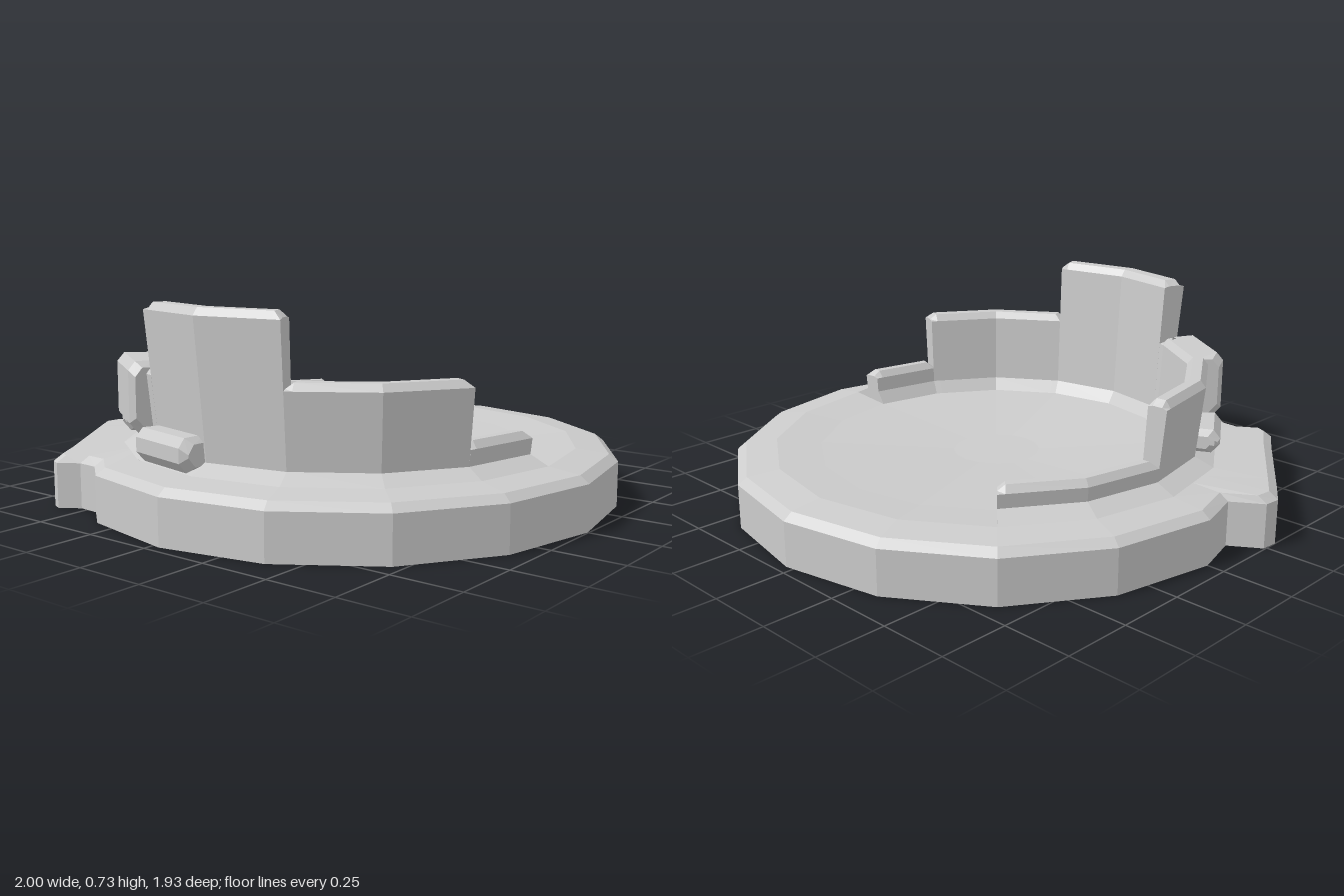
import * as THREE from 'three';

const CX = 0.03;                 // axis of the round base
const STEP = 22.5;               // sixteen-sided
const FOOT_IN = [0.655, 0.188];  // where the wall meets the floor, [radius, y]
const FOOT_OUT = [0.82, 0.203];
const rad = (d) => d * Math.PI / 180;
const mat = new THREE.MeshStandardMaterial({ color: 0xcccccc, flatShading: true, side: THREE.DoubleSide });

// point on a sixteen-sided ring; angle 0 faces the front, 90 faces +x
function ring(deg, r, y) {
  const off = ((deg % STEP) + STEP) % STEP;
  const k = r * Math.cos(rad(STEP / 2)) / Math.cos(rad(off - STEP / 2));
  return [CX + k * Math.sin(rad(deg)), y, k * Math.cos(rad(deg))];
}

function makeMesh(name, tris) {
  const g = new THREE.BufferGeometry();
  g.setAttribute('position', new THREE.Float32BufferAttribute(tris.flat(), 3));
  g.computeVertexNormals();
  const m = new THREE.Mesh(g, mat);
  m.name = name;
  return m;
}

const quad = (out, a, b, c, d) => out.push(a, b, c, a, c, d);

// sweep a profile (list of [radius, y]) round an arc, with chamfered, capped ends
function sweep(name, from, to, profile) {
  const angles = [from, from + 2];
  for (let a = Math.floor(from / STEP + 1) * STEP; a < to - 2; a += STEP) {
    if (a > from + 2) angles.push(a);
  }
  angles.push(to - 2, to);
  const n = angles.length;
  const rows = angles.map((a, i) =>
    profile(i === 0 || i === n - 1 ? 0.02 : 0).map(([r, y]) => ring(a, r, y)));
  const out = [];
  for (let i = 0; i < n - 1; i++)
    for (let k = 0; k < rows[0].length - 1; k++)
      quad(out, rows[i][k], rows[i][k + 1], rows[i + 1][k + 1], rows[i + 1][k]);
  for (const [row, last] of [[rows[0], false], [rows[n - 1], true]]) {
    const end = row[row.length - 1];
    const mid = row[0].map((v, j) => (v + end[j]) / 2);
    for (let k = 0; k < row.length - 1; k++)
      out.push(mid, ...(last ? [row[k], row[k + 1]] : [row[k + 1], row[k]]));
  }
  return makeMesh(name, out);
}

// hollow wall leaning slightly outwards, with a chamfered top and spread feet
function wall(name, from, to, h) {
  const ri = 0.685 + (h - 0.25) * 0.06, ro = 0.752 + (h - 0.25) * 0.1;
  return sweep(name, from, to, (e) => {
    const top = h - e;
    return [FOOT_IN, [0.685, 0.235], [ri, h - 0.025], [ri + 0.02, top],
      [ro - 0.02, top], [ro, h - 0.025], [0.752, 0.235], FOOT_OUT];
  });
}

// chamfered block standing out from the wall
function block(name, from, to, r, y0, y1) {
  return sweep(name, from, to, (e) => [
    [0.73, y1 - e], [r - 0.025 - e, y1 - e], [r - e, y1 - 0.03 - e],
    [r - e, y0 + 0.035 + e], [r - 0.03 - e, y0 + e], [0.73, y0 + e]]);
}

// base: open-bottomed lid with a shallow dish and a grip tab;
// the floor is cut away under the wall
function base() {
  const tab = [[-0.89, 0.17], [-0.995, 0.24], [-1, 0.3], [-0.932, 0.40], [-0.70, 0.73],
    [-0.635, 0.83], [-0.6, 0.845], [-0.53, 0.8], [-0.45, 0.805]];
  const cols = [];
  const addRound = (d) => {
    const p = ring(d, 0.967, 0);
    cols.push({ d, x: p[0], z: p[2] });
  };
  for (let d = -180; d <= -90; d += STEP) addRound(d);
  for (const [x, z] of tab) cols.push({ d: Math.atan2(x - CX, z) * 180 / Math.PI, x, z });
  for (let d = -STEP; d <= 180; d += STEP) addRound(d);

  const rows = cols.map(({ d, x, z }) => {
    const s = 1 - 0.032 / Math.hypot(x - CX, z);
    return [[CX, 0.16, 0], ring(d, 0.16, 0.162), ring(d, ...FOOT_IN), ring(d, ...FOOT_OUT),
      [CX + (x - CX) * s, 0.19, z * s], [x, 0.165, z], [x, 0.005, z]];
  });
  const out = [];
  for (let i = 0; i < rows.length - 1; i++) {
    const mid = (cols[i].d + cols[i + 1].d) / 2;
    const a = rows[i], b = rows[i + 1];
    out.push(a[0], a[1], b[1]);
    for (let k = 1; k < a.length - 1; k++) {
      if (k === 2 && mid > -135 && mid < 90) continue;
      quad(out, a[k], a[k + 1], b[k + 1], b[k]);
    }
  }
  return makeMesh('baseLid', out);
}

export function createModel() {
  const model = new THREE.Group();
  model.name = 'steppedLid';
  model.add(base());

  // stepped wall, from the back right round the front to the left side
  model.add(wall('rightLedge', -135, -90, 0.31));
  model.add(wall('rightWall', -90, -21, 0.515));
  model.add(wall('tallWall', -21, 22.5, 0.735));
  model.add(wall('leftWall', 22.5, 67.5, 0.515));
  model.add(wall('leftLedge', 67.5, 90, 0.315));

  // clip block and the two low catches beside it
  model.add(block('clipBlock', -46, -24, 0.838, 0.285, 0.53));
  model.add(block('frontCatch', -22, -0.5, 0.845, 0.205, 0.32));
  model.add(block('sideCatch', -65, -47, 0.838, 0.235, 0.32));
  return model;
}
